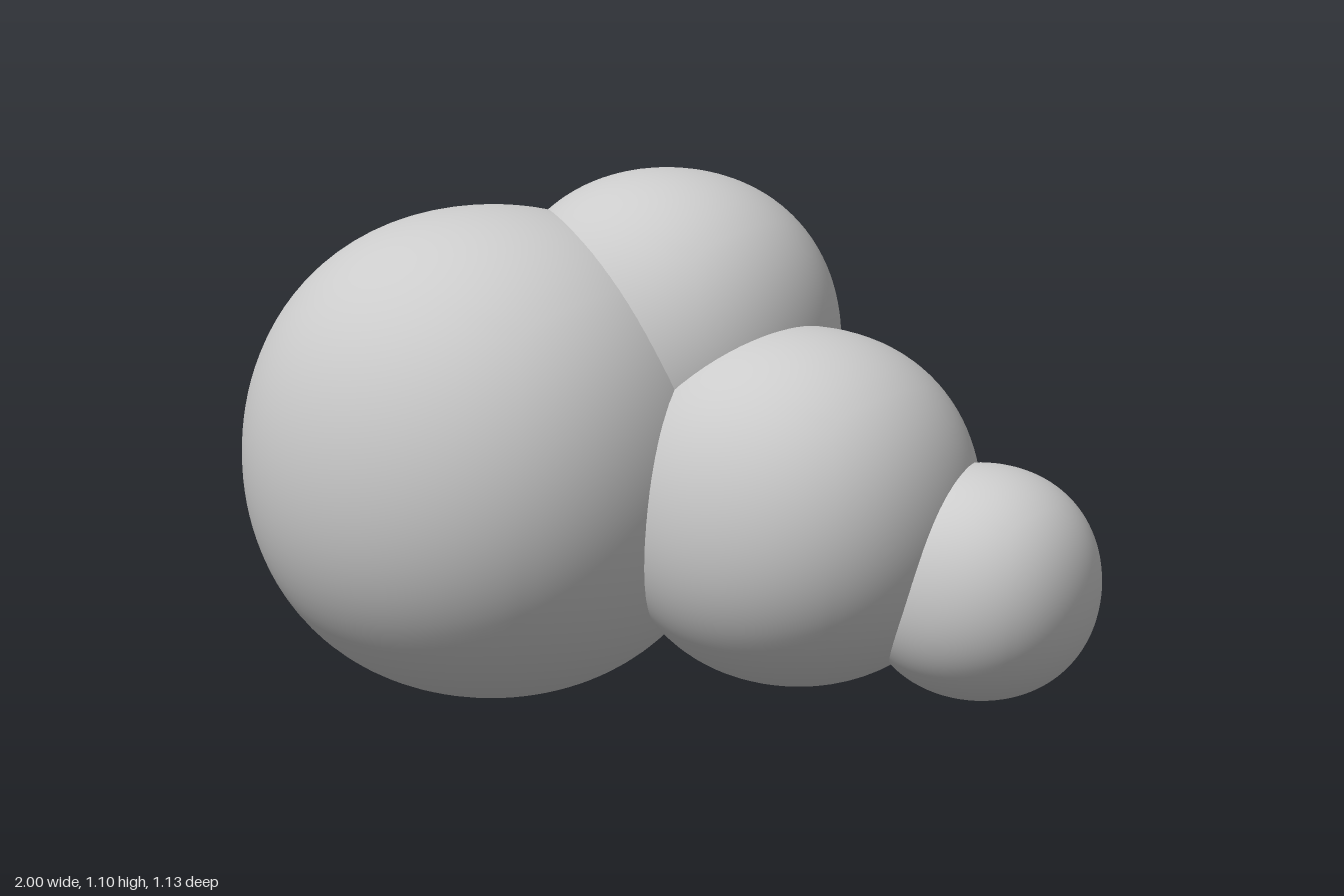
import * as THREE from 'three';
import { mergeVertices } from 'three/addons/utils/BufferGeometryUtils.js';

// A unit cube rounded into a ball that keeps a faint squareness on its diagonals
function puffGeometry() {
  const box = new THREE.BoxGeometry(2, 2, 2, 24, 24, 24);
  box.deleteAttribute('uv');
  box.deleteAttribute('normal');
  const geometry = mergeVertices(box);
  const pos = geometry.attributes.position;
  const v = new THREE.Vector3();
  for (let i = 0; i < pos.count; i++) {
    v.fromBufferAttribute(pos, i);
    // even out the grid spacing before projecting onto the sphere
    v.set(Math.tan(v.x * Math.PI / 4), Math.tan(v.y * Math.PI / 4), Math.tan(v.z * Math.PI / 4)).normalize();
    const bulge = 1 - (v.x ** 4 + v.y ** 4 + v.z ** 4);
    v.multiplyScalar(1 + 0.05 * bulge);
    pos.setXYZ(i, v.x, v.y, v.z);
  }
  geometry.computeVertexNormals();
  return geometry;
}

export function createModel() {
  const cloud = new THREE.Group();
  cloud.name = 'cloud';
  const geometry = puffGeometry();
  const material = new THREE.MeshStandardMaterial({ color: 0xcccccc });

  // name, centre, half sizes
  const puffs = [
    ['mainPuff', [-0.22, 0.517, 0.048], [0.508, 0.515, 0.515]],
    ['rightPuff', [-0.677, 0.396, -0.18], [0.323, 0.324, 0.32]],
    ['topPuff', [0.04, 0.745, -0.215], [0.36, 0.36, 0.352]],
    ['leftPuff', [0.4, 0.437, -0.173], [0.368, 0.368, 0.368]],
    ['leftEndPuff', [0.758, 0.302, -0.303], [0.24, 0.24, 0.239]],
  ];
  for (const [name, centre, size] of puffs) {
    const puff = new THREE.Mesh(geometry, material);
    puff.name = name;
    puff.position.set(...centre);
    puff.scale.set(...size);
    cloud.add(puff);
  }
  return cloud;
}
